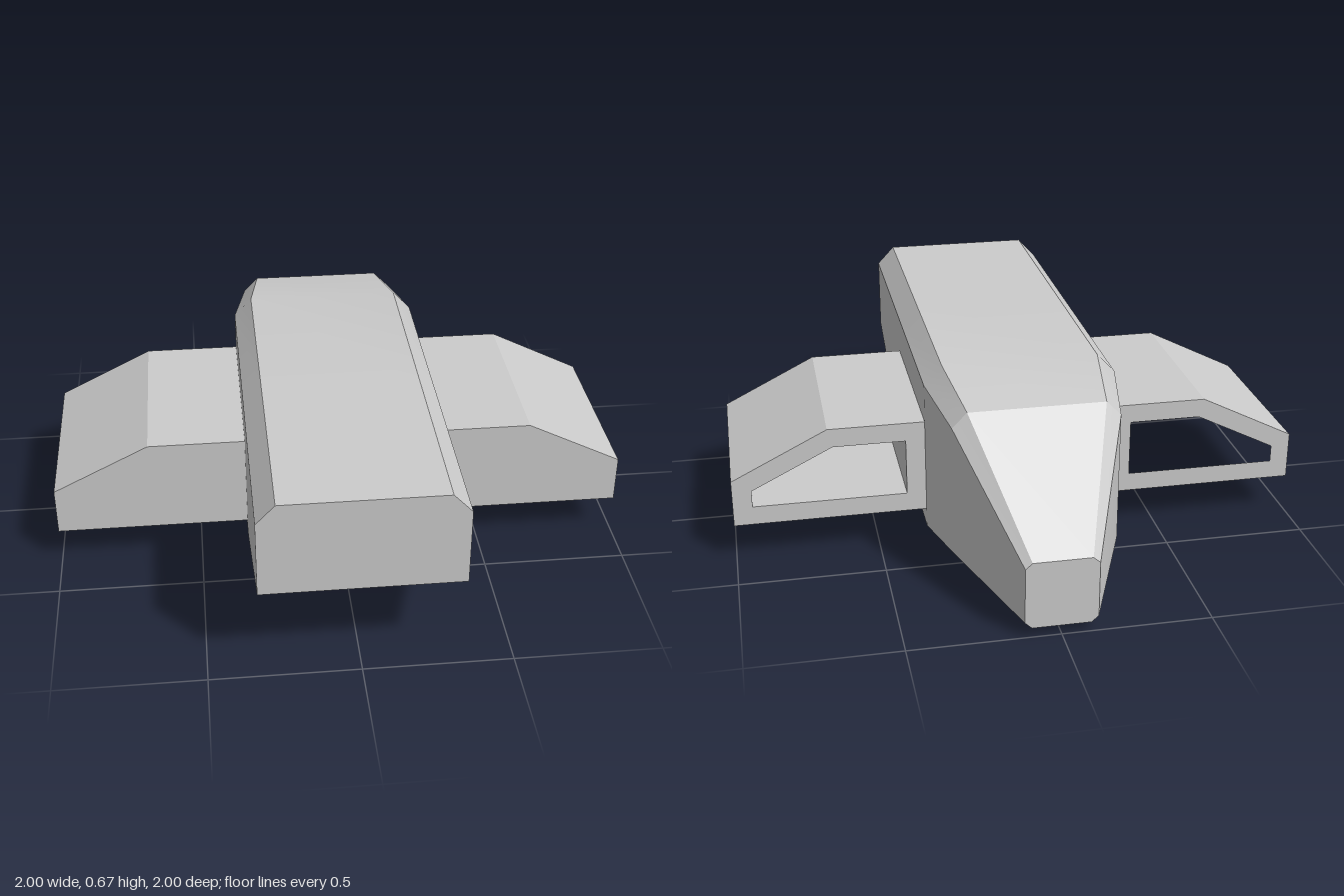
import * as THREE from 'three';
import { toCreasedNormals } from 'three/addons/utils/BufferGeometryUtils.js';

const material = new THREE.MeshStandardMaterial({ color: 0xcccccc });

// Chamfered cross-section, counter-clockwise seen from the front
function ring({ z, w, bottomW, topW, y }) {
  const half = [[bottomW, y[0]], [w, y[1]], [w, y[2]], [topW, y[3]]];
  const mirrored = half.map(([px, py]) => [-px, py]).reverse();
  return [...half, ...mirrored].map(([px, py]) => new THREE.Vector3(px, py, z));
}

// Skin a list of equal-sized rings from front to back and cap both ends
function loft(rings) {
  const points = [];
  const tri = (a, b, c) => {
    const area = b.clone().sub(a).cross(c.clone().sub(a)).length();
    if (area > 1e-6) points.push(a, b, c);
  };
  const n = rings[0].length;
  for (let r = 0; r < rings.length - 1; r++) {
    for (let i = 0; i < n; i++) {
      const j = (i + 1) % n;
      const [a, b, c, d] = [rings[r][i], rings[r][j], rings[r + 1][j], rings[r + 1][i]];
      tri(a, d, c);
      tri(a, c, b);
    }
  }
  const front = rings[0], back = rings[rings.length - 1];
  for (let i = 1; i < n - 1; i++) {
    tri(front[0], front[i], front[i + 1]);
    tri(back[0], back[i + 1], back[i]);
  }
  return toCreasedNormals(new THREE.BufferGeometry().setFromPoints(points), 0.45);
}

function addMesh(parent, name, geometry) {
  const mesh = new THREE.Mesh(geometry, material);
  mesh.name = name;
  parent.add(mesh);
  return mesh;
}

export function createModel() {
  const model = new THREE.Group();
  model.name = 'craft';

  // Hull: blunt raked front, straight middle, tapering tail
  const sections = [
    { z: 1, w: 0.333, bottomW: 0.333, topW: 0.27, y: [0.336, 0.336, 0.605, 0.672] },
    { z: 0.333, w: 0.333, bottomW: 0.27, topW: 0.27, y: [0, 0.067, 0.605, 0.672] },
    { z: -0.333, w: 0.333, bottomW: 0.27, topW: 0.27, y: [0, 0.067, 0.605, 0.672] },
    { z: -0.61, w: 0.283, bottomW: 0.232, topW: 0.232, y: [0.053, 0.106, 0.566, 0.618] },
    { z: -1, w: 0.12, bottomW: 0.097, topW: 0.097, y: [0.033, 0.054, 0.248, 0.268] },
  ];
  addMesh(model, 'hull', loft(sections.map(ring)));

  // Side pods: hollow shell open at the rear, closed by a plate at the front
  const outer = [[0.333, 0.135], [1, 0.135], [1, 0.303], [0.667, 0.47], [0.333, 0.47]];
  const inner = [[0.4, 0.202], [0.933, 0.202], [0.933, 0.262], [0.651, 0.403], [0.4, 0.403]];
  for (const side of [1, -1]) {
    const pod = new THREE.Group();
    pod.name = side > 0 ? 'leftPod' : 'rightPod';
    const outline = (pts) => pts.map(([x, y]) => new THREE.Vector2(side * x, y));

    const shellShape = new THREE.Shape(outline(outer));
    shellShape.holes.push(new THREE.Path(outline(inner)));
    const shell = new THREE.ExtrudeGeometry(shellShape, { depth: 0.6, bevelEnabled: false });
    addMesh(pod, 'podShell', shell).position.z = -0.333;

    const plate = new THREE.ExtrudeGeometry(new THREE.Shape(outline(outer)), { depth: 0.066, bevelEnabled: false });
    addMesh(pod, 'podFrontPlate', plate).position.z = 0.267;
    model.add(pod);
  }
  return model;
}
